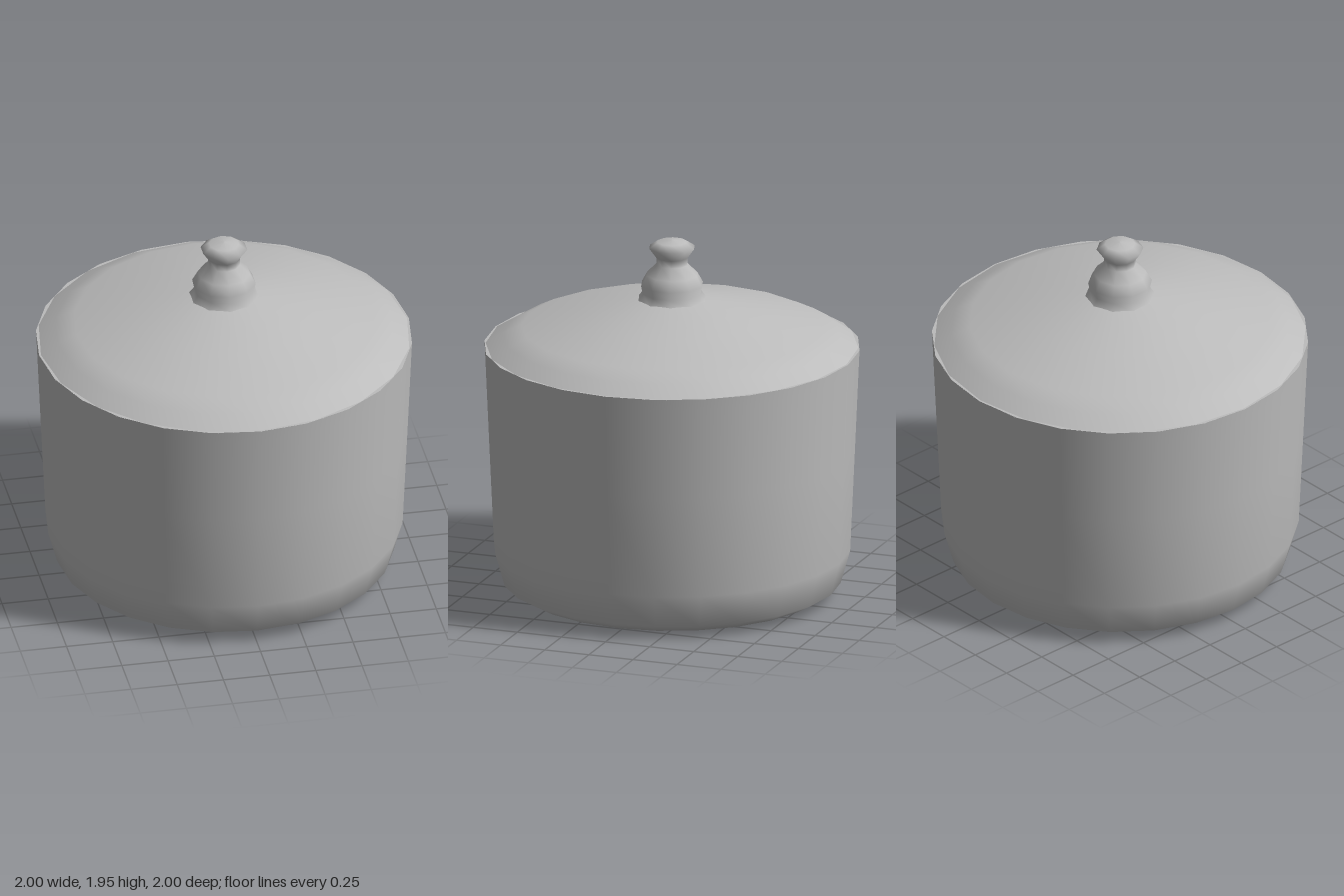
import * as THREE from 'three';

const china = new THREE.MeshStandardMaterial({ color: 0xbcbcbc });
china.name = 'grey glaze';

// Turn a profile of [radius, height] pairs, listed from bottom to top
function turned(name, profile, sides) {
  const points = profile.map(([r, y]) => new THREE.Vector2(r, y));
  const mesh = new THREE.Mesh(new THREE.LatheGeometry(points, sides), china);
  mesh.name = name;
  return mesh;
}

export function createModel() {
  const model = new THREE.Group();
  model.name = 'lidded pot';

  // Tapered bowl with a rounded foot and a thin flat rim under the lid
  model.add(turned('bowl', [
    [0, 0], [0.4, 0.01], [0.82, 0.025], [0.9, 0.07], [0.95, 0.25],
    [0.975, 0.8], [0.997, 1.3], [1, 1.36],
  ], 24));
  model.add(turned('rim', [[1, 1.358], [0.9, 1.36]], 24));

  // Shallow lid: steep edge, then a gentle cone up to the knob
  model.add(turned('lid', [
    [0.99, 1.36], [0.9, 1.415], [0.8, 1.465], [0.5, 1.54], [0.18, 1.622], [0, 1.625],
  ], 20));

  // Knob with a flared foot, round belly, narrow neck and small cap
  model.add(turned('knob', [
    [0.19, 1.615], [0.16, 1.655], [0.17, 1.7], [0.14, 1.755], [0.085, 1.81],
    [0.085, 1.85], [0.125, 1.905], [0.08, 1.935], [0, 1.945],
  ], 10));

  return model;
}
